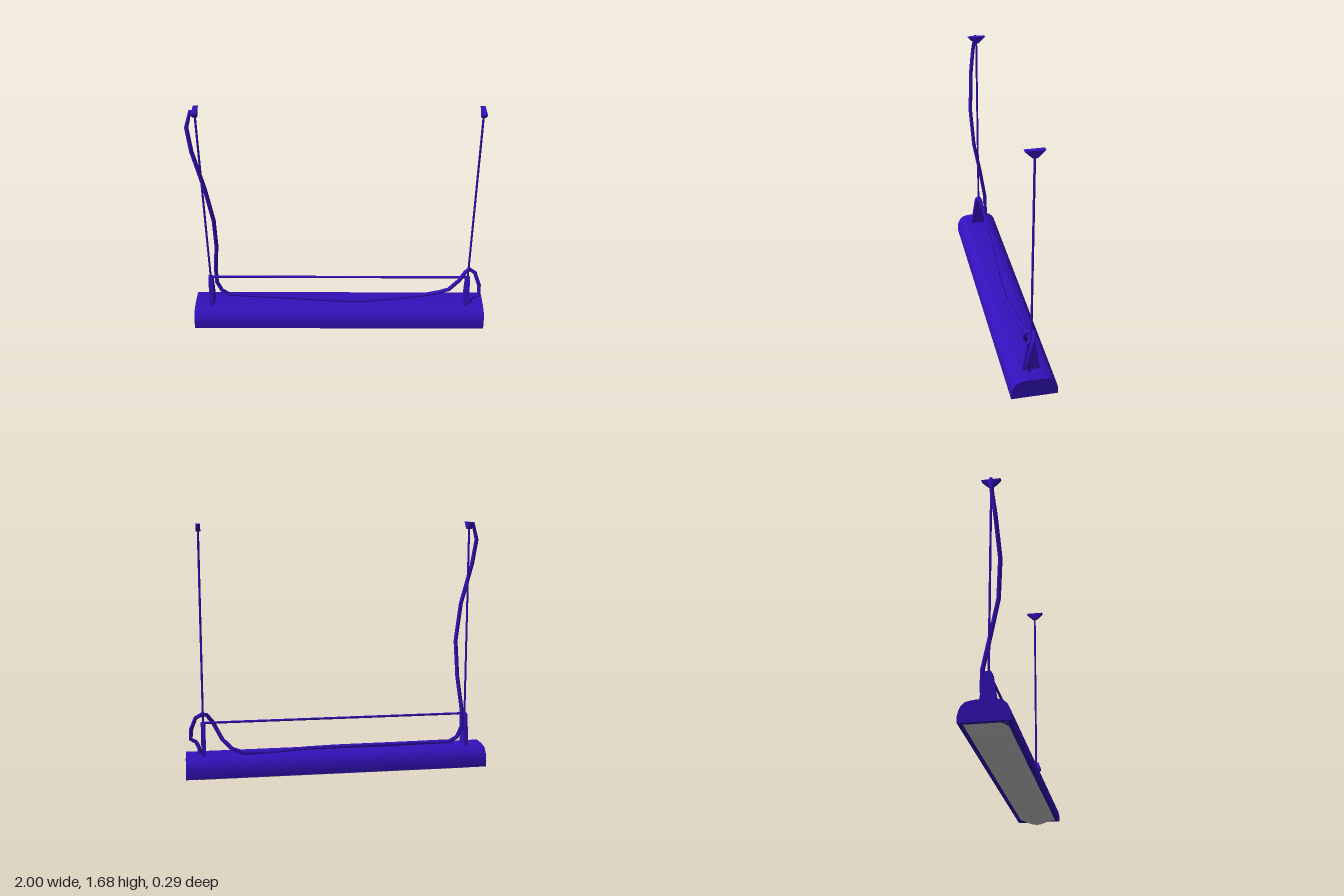
import * as THREE from 'three';
import { toCreasedNormals } from 'three/addons/utils/BufferGeometryUtils.js';

const blue = new THREE.MeshStandardMaterial({ color: 0x3311bb });
const grey = new THREE.MeshStandardMaterial({ color: 0xcccccc });

// Extrudes a symmetric profile, given as its +z half from bottom to top, along x
function mirroredBar(half, length, crease = 0.7) {
  const pts = half.map(([z, y]) => new THREE.Vector2(z, y));
  const other = half.map(([z, y]) => new THREE.Vector2(-z, y)).reverse();
  const geo = new THREE.ExtrudeGeometry(new THREE.Shape([...pts, ...other]), { depth: length, bevelEnabled: false });
  geo.translate(0, 0, -length / 2).rotateY(Math.PI / 2);
  return toCreasedNormals(geo, crease);
}

export function createModel() {
  const group = new THREE.Group();
  const add = (name, geo, material = blue, x = 0, y = 0) => {
    const mesh = new THREE.Mesh(geo, material);
    mesh.name = name;
    mesh.position.set(x, y, 0);
    group.add(mesh);
    return mesh;
  };

  // Long lamp housing with rounded shoulders
  add('housing', mirroredBar([
    [0.147, 0.045], [0.147, 0.085], [0.14, 0.115], [0.128, 0.14], [0.105, 0.162], [0.075, 0.17], [0.04, 0.173],
  ], 2));

  // Shallow curved diffuser with sloping ends
  const diffuser = new THREE.PlaneGeometry(2, 2, 3, 8);
  const p = diffuser.attributes.position;
  const xs = [-0.97, -0.91, 0.91, 0.97];
  for (let i = 0; i < p.count; i++) {
    const col = i % 4, t = p.getY(i);
    const depth = col === 0 || col === 3 ? 0 : 0.045 * (1 - Math.abs(t) ** 1.6);
    p.setXYZ(i, xs[col], 0.045 - depth, t * 0.12);
  }
  add('diffuser', toCreasedNormals(diffuser, 0.5), grey);

  // Brackets, suspension wires and ceiling mounts at both ends
  const bracket = mirroredBar([[0.057, 0.165], [0.026, 0.365], [0.015, 0.385]], 0.03);
  const mount = mirroredBar([[0.014, 1.63], [0.03, 1.645], [0.06, 1.675]], 0.03);
  const wire = new THREE.CylinderGeometry(0.007, 0.007, 1.27, 8);
  for (const [side, x] of [['left', 0.883], ['right', -0.883]]) {
    add(side + 'Bracket', bracket, blue, x);
    add(side + 'Wire', wire, blue, x, 1.01);
    add(side + 'CeilingMount', mount, blue, x);
  }

  // Horizontal spreader rod between the brackets
  add('spreaderRod', new THREE.CylinderGeometry(0.008, 0.008, 1.77, 8).rotateZ(Math.PI / 2), blue, 0, 0.383);

  // Power cable: down the right wire, along the housing and looped over the left bracket
  const path = [
    [-0.885, 1.66, 0], [-0.91, 1.665, 0.003], [-0.94, 1.56, 0.015], [-0.92, 1.4, 0.035], [-0.855, 1.13, 0.055],
    [-0.82, 0.88, 0.04], [-0.825, 0.64, -0.005], [-0.85, 0.42, -0.042], [-0.85, 0.3, -0.045],
    [-0.82, 0.23, -0.042], [-0.77, 0.2, -0.036], [-0.4, 0.192, -0.018], [0, 0.184, 0.007], [0.2, 0.18, 0.005],
    [0.45, 0.176, -0.035], [0.62, 0.186, -0.058], [0.7, 0.215, -0.047], [0.76, 0.27, -0.008],
    [0.82, 0.38, 0.032], [0.86, 0.435, 0.012], [0.89, 0.445, -0.015], [0.93, 0.42, -0.005],
    [0.96, 0.34, 0.028], [0.965, 0.265, 0.042], [0.93, 0.245, 0.036], [0.912, 0.21, 0.02], [0.91, 0.165, 0.015],
  ].map((v) => new THREE.Vector3(...v));
  const curve = new THREE.CatmullRomCurve3(path, false, 'centripetal');
  // One straight piece per path point keeps the bends angular
  curve.getPointAt = curve.getPoint;
  curve.getTangentAt = curve.getTangent;
  add('cable', new THREE.TubeGeometry(curve, path.length - 1, 0.0135, 8));

  return group;
}
